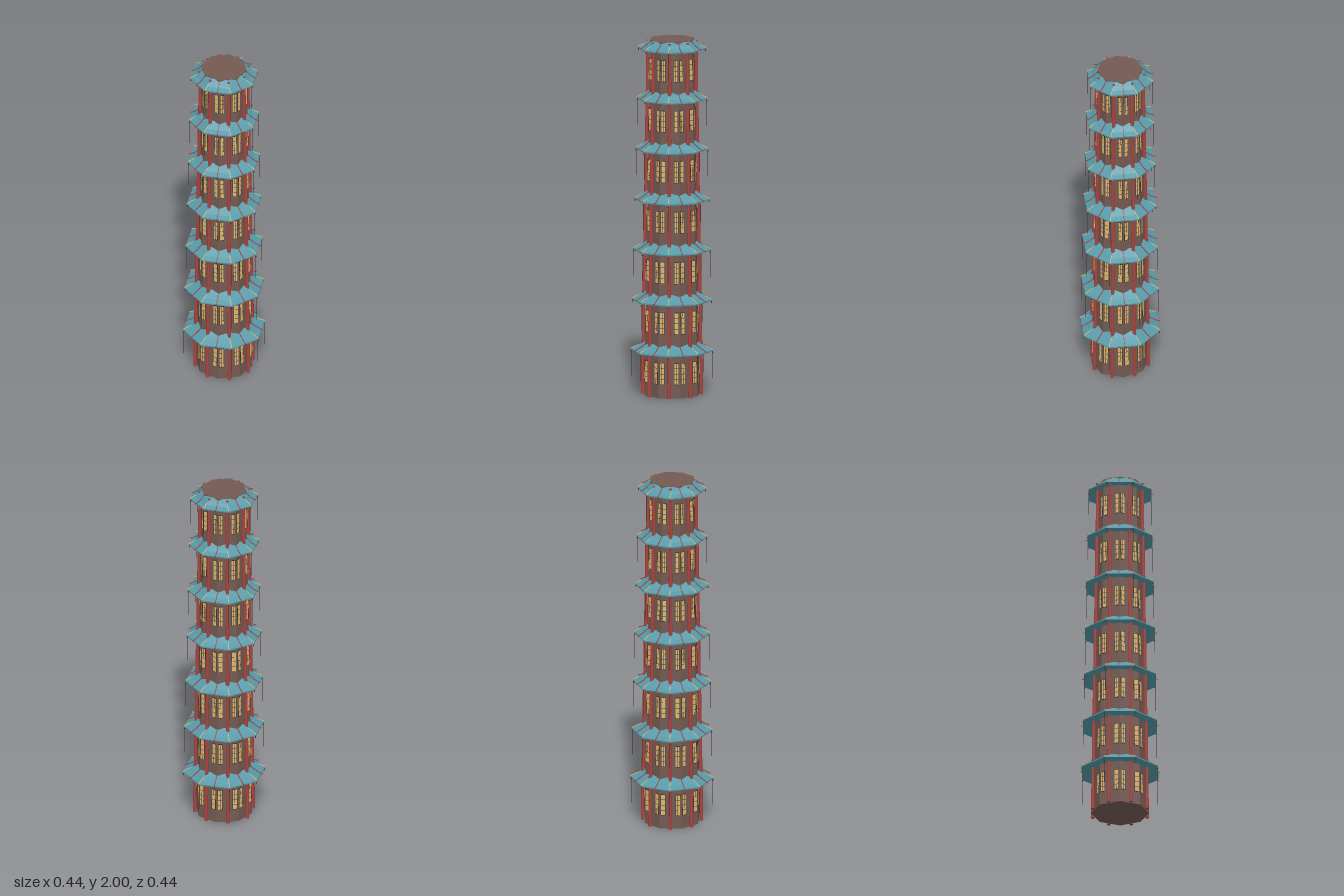
import * as THREE from 'three';

const mat = (name, color) => {
  const m = new THREE.MeshStandardMaterial({ color });
  m.name = name;
  return m;
};
const SIDES = 8, STEP = Math.PI / 4, HALF = Math.PI / 8, APO = Math.cos(HALF);
const TIERS = 7, PITCH = 1.7 / 6, TIER_H = 0.3;

// hard edges for faceted parts
function flat(geo) {
  const g = geo.toNonIndexed();
  g.computeVertexNormals();
  return g;
}

export function createModel() {
  const wood = mat('brown wall', 0x735a52);
  const teal = mat('teal tile', 0x5699a8);
  const red = mat('red lacquer', 0xa8443f);
  const glow = mat('yellow pane', 0xdcb56c);
  const frame = mat('dark frame', 0x40332d);

  const tower = new THREE.Group();
  tower.name = 'tower';

  const add = (parent, name, geo, material, x = 0, y = 0, z = 0) => {
    const m = new THREE.Mesh(geo, material);
    m.name = name;
    m.position.set(x, y, z);
    parent.add(m);
    return m;
  };

  // straight bar in the radial (y, z) plane from [r, y] to [r, y]
  const bar = (parent, name, a, b, w, h, material) => {
    const dz = b[0] - a[0], dy = b[1] - a[1];
    const m = add(parent, name, new THREE.BoxGeometry(w, h, Math.hypot(dz, dy)), material,
      0, (a[1] + b[1]) / 2, (a[0] + b[0]) / 2);
    m.rotation.x = -Math.atan2(dy, dz);
  };

  for (let i = 0; i < TIERS; i++) {
    const tier = new THREE.Group();
    tier.name = 'tier' + (i + 1);
    tier.position.y = i * PITCH;
    tower.add(tier);

    const rBottom = 0.16 - 0.0045 * i, rTop = rBottom * 0.963;
    const eave = 0.212 - 0.0062 * i;
    const eaveY = 0.245;

    // eight-sided wall
    add(tier, 'wall', flat(new THREE.CylinderGeometry(rTop, rBottom, TIER_H, SIDES)), wood, 0, TIER_H / 2, 0);

    // flared roof skirt, corners turned half a side from the wall; [distance to flat side, y]
    const inner = rTop * 0.9;
    const kneeR = eave - 0.024;
    const profile = [
      [inner, eaveY + 0.006], [eave, eaveY], [eave, eaveY + 0.007],
      [kneeR, eaveY + 0.02], [rTop + 0.008, eaveY + 0.036], [inner, eaveY + 0.053],
    ].map(([r, y]) => new THREE.Vector2(r / APO, y));
    add(tier, 'roof', flat(new THREE.LatheGeometry(profile, SIDES, HALF)), teal);

    for (let k = 0; k < SIDES; k++) {
      // roof ribs over the wall corners
      const rib = new THREE.Group();
      rib.name = 'roofRib';
      rib.rotation.y = k * STEP;
      tier.add(rib);
      const path = [[rTop - 0.002, eaveY + 0.046], [kneeR, eaveY + 0.022],
        [eave, eaveY + 0.009], [eave + 0.01, eaveY + 0.007]];
      for (let p = 0; p < 3; p++) bar(rib, 'ribBar', path[p], path[p + 1], 0.004, 0.005, red);

      // everything centred on a wall face
      const side = new THREE.Group();
      side.name = 'side';
      side.rotation.y = k * STEP + HALF;
      tier.add(side);

      // column in front of the face, rising through the roof
      const colR = rBottom * 1.018;
      add(side, 'column', new THREE.CylinderGeometry(0.0075, 0.0105, 0.292, 8), red, 0, 0.146, colR);

      // corner trim and hanging wire
      const tip = eave / APO;
      bar(side, 'cornerTrim', [colR, eaveY + 0.038], [kneeR / APO, eaveY + 0.022], 0.004, 0.004, glow);
      bar(side, 'cornerTrim', [kneeR / APO, eaveY + 0.022], [tip, eaveY + 0.009], 0.004, 0.004, glow);
      add(side, 'cornerBell', new THREE.CylinderGeometry(0.002, 0.004, 0.01, 6), frame, 0, eaveY - 0.006, tip - 0.003);
      add(side, 'hangingWire', new THREE.CylinderGeometry(0.001, 0.001, 0.15, 5), frame, 0, eaveY - 0.075, tip - 0.003);

      // pair of windows either side of the column
      const yMid = 0.137;
      const panel = new THREE.Group();
      panel.name = 'windows';
      panel.position.set(0, yMid, APO * (rBottom + (rTop - rBottom) * yMid / TIER_H));
      panel.rotation.x = -Math.atan((rBottom - rTop) * APO / TIER_H);
      side.add(panel);
      for (const s of [-1, 1]) {
        const x = s * rBottom * 0.257, w = rBottom * 0.165, h = 0.124;
        add(panel, 'windowFrame', new THREE.BoxGeometry(w, h, 0.004), frame, x, 0, 0.001);
        for (let c = 0; c < 2; c++) {
          for (let r = 0; r < 4; r++) {
            add(panel, 'windowPane', new THREE.BoxGeometry(w / 2 - 0.003, h / 4 - 0.004, 0.003), glow,
              x + (c - 0.5) * (w / 2 - 0.001), (r - 1.5) * (h / 4 - 0.001), 0.0025);
          }
        }
      }
    }
  }
  return tower;
}
